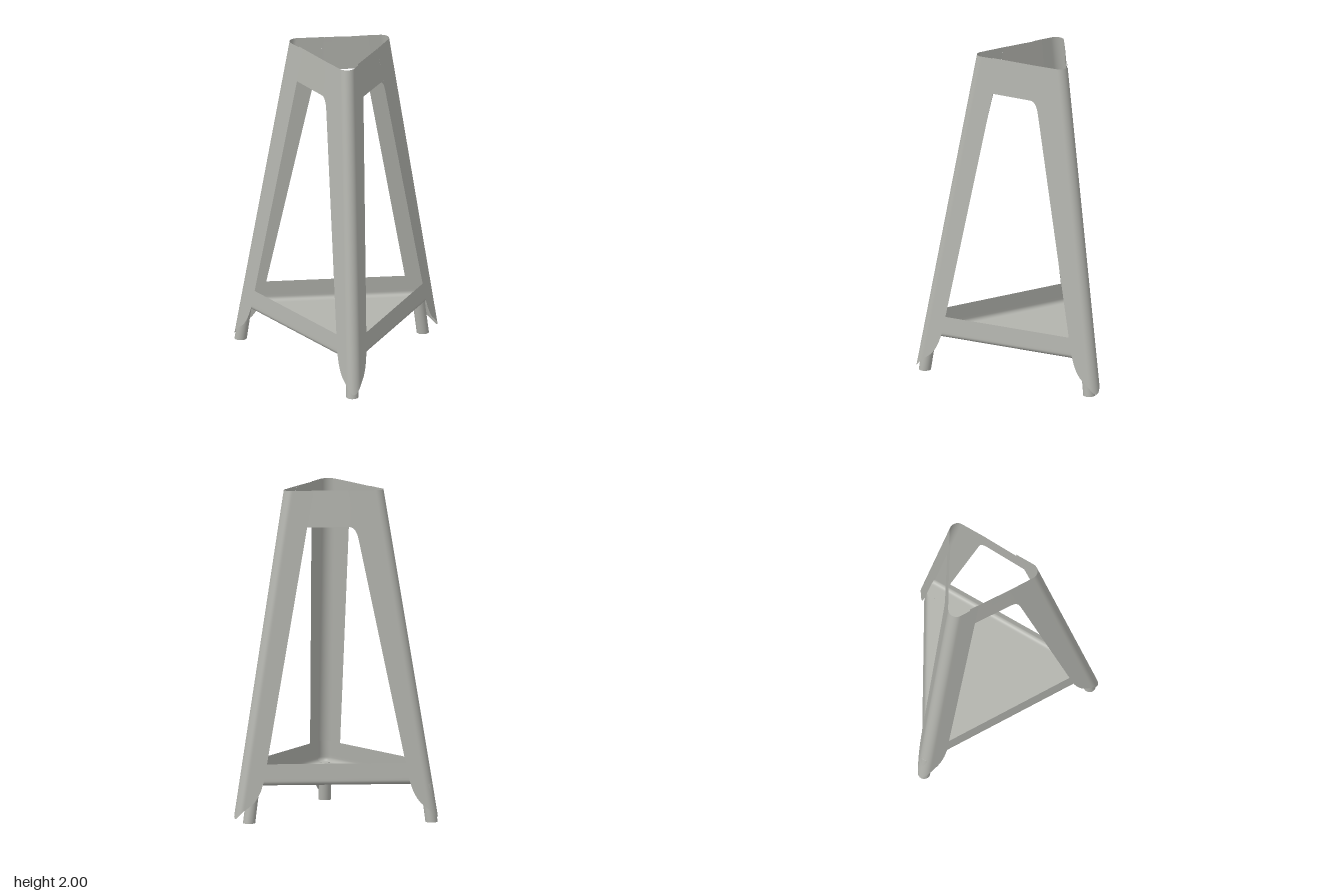
import * as THREE from 'three';

const CZ = 0.163;                 // z of the triangle's centre
const R = 0.05;                   // rounding of the folded corners
const S3 = Math.sqrt(3);
const inr = (y) => 0.38 - 0.0925 * y;                    // in-radius of the tapered triangle
const edgeA = (y) => 0.13 + 0.2045 * (1.78 - y);         // inner leg edge, header side
const edgeB = (y) => 0.165 + 0.178 * (1.78 - y);         // inner leg edge, seam side

// lower edge of a leg: [fraction from corner to inner edge, height]
const HEM = [[0, 0.03], [0.12, 0.036], [0.3, 0.06], [0.6, 0.1], [0.75, 0.122], [0.87, 0.155], [0.95, 0.2], [1, 0.26]];
function hem(f) {
  const i = Math.max(1, HEM.findIndex((p) => p[0] >= f - 1e-6));
  const [a, b] = [HEM[i - 1], HEM[i]];
  return THREE.MathUtils.lerp(a[1], b[1], (f - a[0]) / (b[0] - a[0]));
}

// surface through rows of points
function loft(rows) {
  const n = rows[0].length, index = [];
  for (let i = 0; i < rows.length - 1; i++) {
    for (let j = 0; j < n - 1; j++) {
      const a = i * n + j, b = a + n;
      index.push(a, b, a + 1, a + 1, b, b + 1);
    }
  }
  const g = new THREE.BufferGeometry();
  g.setAttribute('position', new THREE.Float32BufferAttribute(rows.flat(2), 3));
  g.setIndex(index);
  g.computeVertexNormals();
  return g;
}

// folded leg, its corner pointing along +x
function legGeometry() {
  const cols = [];
  for (let j = 0; j <= 10; j++) cols.push(-1 + 0.055 * j);
  for (let j = 1; j < 16; j++) cols.push(-0.45 + 0.9 * j / 16);
  for (let j = 0; j <= 10; j++) cols.push(0.45 + 0.055 * j);
  const point = (t, y) => {
    const r = inr(y), s = Math.sign(t), f = Math.abs(t);
    if (f <= 0.45) {
      const a = t / 0.45 * Math.PI / 3;
      return [2 * (r - R) + R * Math.cos(a), y, R * Math.sin(a)];
    }
    const width = r * S3 - (s > 0 ? edgeA(y) : edgeB(y));
    const d = THREE.MathUtils.lerp(R * S3, width, (f - 0.45) / 0.55);
    return [2 * r - d * S3 / 2, y, s * d / 2];
  };
  const rows = [];
  for (let i = 0; i <= 10; i++) {
    rows.push(cols.map((t) => point(t, THREE.MathUtils.lerp(hem(Math.abs(t)), 2, i / 10))));
  }
  return loft(rows);
}

// header plate, its far end tucked behind the next leg
function headerGeometry() {
  const s = new THREE.Shape();
  s.moveTo(edgeA(2), 2);
  s.lineTo(-0.18, 2);
  s.lineTo(-0.21, 1.78);
  s.lineTo(0.09, 1.78);
  s.quadraticCurveTo(edgeA(1.78), 1.78, edgeA(1.7), 1.7);
  const g = new THREE.ShapeGeometry(s, 10);
  const p = g.attributes.position;
  for (let i = 0; i < p.count; i++) {
    const tuck = Math.max(0, 0.1 - p.getX(i)) * 0.03;
    p.setZ(i, inr(p.getY(i)) - tuck);
  }
  g.computeVertexNormals();
  return g;
}

// closed outline of a rounded triangle
function ring(r, rho, y) {
  const pts = [];
  for (let k = 0; k <= 3; k++) {
    const c = Math.PI / 6 + k * Math.PI * 2 / 3;
    for (let j = 0; j <= 10; j++) {
      const a = c + (j / 10 - 0.5) * Math.PI * 2 / 3;
      const d = 2 * (r - rho);
      pts.push([d * Math.cos(c) + rho * Math.cos(a), y, d * Math.sin(c) + rho * Math.sin(a)]);
      if (k === 3) break;
    }
  }
  return pts;
}

// shallow tray with a rounded lower edge
function trayGeometry() {
  const f = 0.028, y0 = 0.23, inset = 0.007;
  const base = inr(y0) - inset;
  const rows = [ring(0, 0, y0), ring(base - f - 0.01, 0.012, y0)];
  for (let i = 0; i <= 6; i++) {
    const a = i / 6 * Math.PI / 2;
    const cut = f * (1 - Math.sin(a)), y = y0 + f * (1 - Math.cos(a));
    rows.push(ring(inr(y) - inset - cut, 0.044 - cut, y));
  }
  rows.push(ring(inr(0.275) - inset, 0.044, 0.275), ring(inr(0.36) - inset, 0.044, 0.36));
  return loft(rows);
}

// round foot leaning inward like the leg
function footGeometry(x, z) {
  const h = 0.232;
  const g = new THREE.CylinderGeometry(0.037, 0.037, h, 28).translate(0, h / 2, 0);
  const p = g.attributes.position;
  const dist = Math.hypot(x, z);
  for (let i = 0; i < p.count; i++) {
    const k = -0.15 * p.getY(i) / dist;
    p.setX(i, p.getX(i) + x * k);
    p.setZ(i, p.getZ(i) + z * k);
  }
  g.computeVertexNormals();
  return g.translate(x, 0, z);
}

export function createModel() {
  const metal = new THREE.MeshStandardMaterial({ color: 0xb2b3ad, side: THREE.DoubleSide });
  metal.name = 'light grey metal';
  const model = new THREE.Group();
  model.name = 'triangularStand';
  const body = new THREE.Group();
  body.name = 'frame';
  body.position.z = CZ;
  model.add(body);
  const add = (parent, geometry, name) => {
    const m = new THREE.Mesh(geometry, metal);
    m.name = name;
    parent.add(m);
    return m;
  };

  // three identical folded sheets
  const leg = legGeometry(), header = headerGeometry();
  ['frontLeft', 'frontRight', 'back'].forEach((name, k) => {
    const sheet = new THREE.Group();
    sheet.name = name + 'Sheet';
    sheet.rotation.y = -(Math.PI / 6 + k * Math.PI * 2 / 3);
    add(sheet, leg, name + 'Leg');
    add(sheet, header, name + 'Header').rotation.y = Math.PI / 6;
    body.add(sheet);
  });

  add(body, trayGeometry(), 'tray');

  // feet
  [['frontLeftFoot', 0.563, 0.495], ['frontRightFoot', -0.579, 0.495], ['backFoot', -0.01, -0.447]]
    .forEach(([name, x, z]) => add(body, footGeometry(x, z - CZ), name));
  return model;
}
